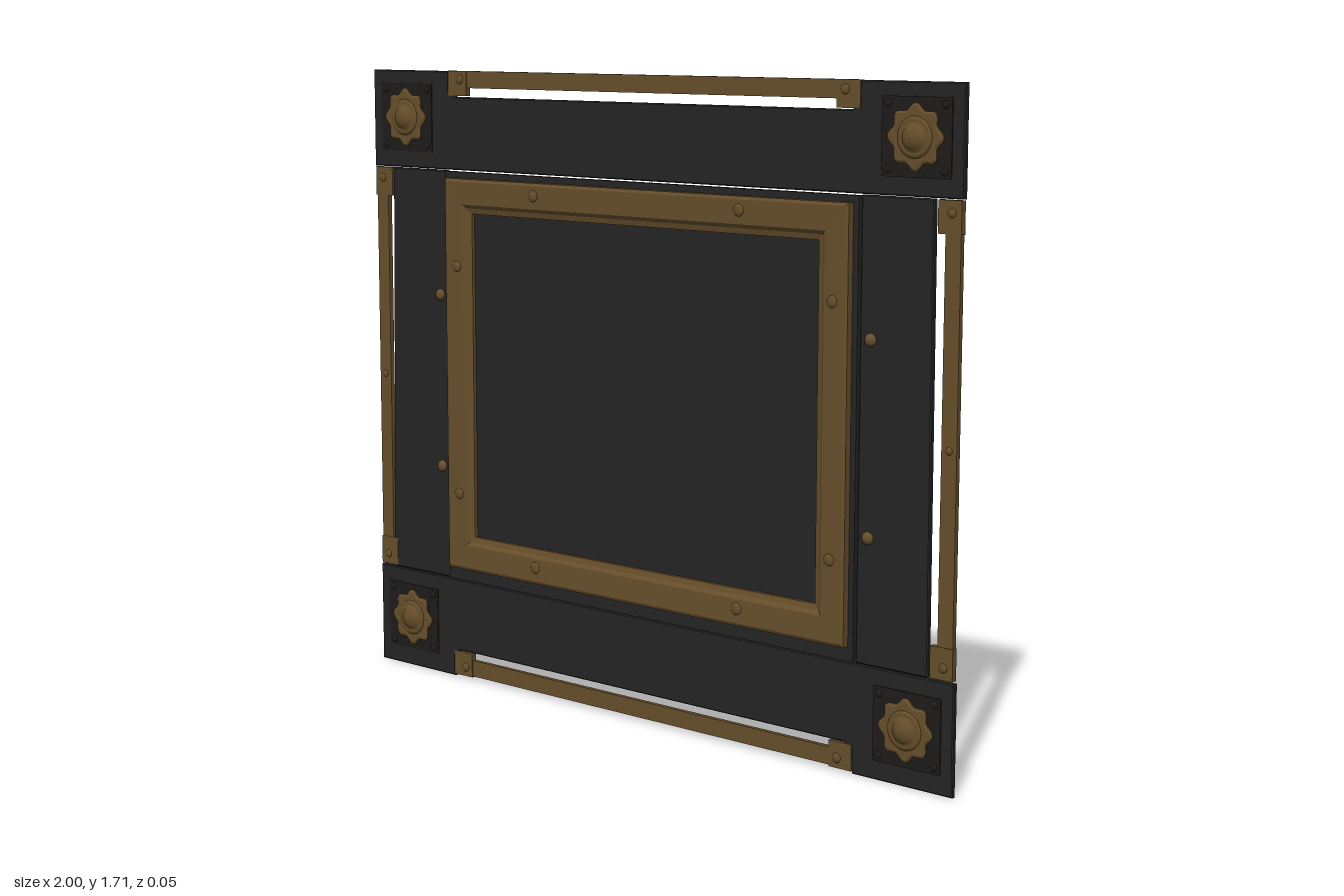
import * as THREE from 'three';

const material = (name, color) => {
  const m = new THREE.MeshStandardMaterial({ color });
  m.name = name;
  return m;
};

export function createModel() {
  const model = new THREE.Group();
  model.name = 'wallFrame';
  const dark = material('blackenedWood', 0x252525);
  const plateDark = material('cornerIron', 0x1f1d1b);
  const brass = material('agedBrass', 0x674f2b);
  const BACK = -0.025, FACE = -0.01, MID = 0.8625;

  const add = (name, geo, mat, x = 0, y = 0, z = 0, parent = model) => {
    const mesh = new THREE.Mesh(geo, mat);
    mesh.name = name;
    mesh.position.set(x, y, z);
    parent.add(mesh);
    return mesh;
  };
  // box given by its limits
  const block = (name, mat, x0, x1, y0, y1, z0 = BACK, z1 = FACE) =>
    add(name, new THREE.BoxGeometry(x1 - x0, y1 - y0, z1 - z0), mat, (x0 + x1) / 2, (y0 + y1) / 2, (z0 + z1) / 2);
  // flat outline pushed out in z
  const slab = (name, mat, points, z0, z1, bevel = 0) => {
    const shape = new THREE.Shape(points.map(([x, y]) => new THREE.Vector2(x, y)));
    const geo = new THREE.ExtrudeGeometry(shape, {
      depth: z1 - z0 - bevel * 2, bevelEnabled: bevel > 0, bevelSize: bevel, bevelThickness: bevel,
      bevelOffset: -bevel, bevelSegments: 1,
    });
    return add(name, geo, mat, 0, 0, z0 + bevel);
  };
  // low dome facing +z
  const dome = (name, mat, x, y, z, r, h, parent = model) => {
    const geo = new THREE.SphereGeometry(1, 12, 5, 0, Math.PI * 2, 0, Math.PI / 2);
    geo.rotateX(Math.PI / 2).scale(r, r, h);
    return add(name, geo, mat, x, y, z, parent);
  };

  // top and bottom planks, notched for the rails
  slab('topPlank', dark, [[-1, 1.44], [1, 1.44], [1, 1.71], [0.7, 1.71], [0.7, 1.655], [0.675, 1.64],
    [-0.675, 1.64], [-0.7, 1.655], [-0.7, 1.71], [-1, 1.71]], BACK, FACE, 0.003);
  slab('bottomPlank', dark, [[-1, 0], [-0.7, 0], [-0.7, 0.06], [-0.675, 0.077], [0.675, 0.077], [0.7, 0.06],
    [0.7, 0], [1, 0], [1, 0.283], [-1, 0.283]], BACK, FACE, 0.003);

  // side planks, left one slightly tapered
  slab('rightPlank', dark, [[-0.945, 0.285], [-0.712, 0.285], [-0.712, 1.438], [-0.925, 1.438]], BACK, FACE, 0.003);
  slab('leftPlank', dark, [[0.708, 0.285], [0.922, 0.285], [0.918, 1.438], [0.708, 1.438]], BACK, FACE, 0.003);

  // centre panel
  block('centrePanel', dark, -0.708, 0.706, 0.287, 1.436, -0.021, -0.002);

  // mitred brass frame: each profile point is [inset, z]
  const rings = [[0, -0.003], [0, 0.017], [0.008, 0.021], [0.07, 0.019], [0.08, 0.012], [0.095, 0.008], [0.095, -0.003]]
    .map(([inset, z]) => {
      const w = 0.69 - inset, h = 0.547 - inset;
      return [[-w, -h, z], [w, -h, z], [w, h, z], [-w, h, z]];
    });
  const pos = [];
  for (let i = 0; i < rings.length - 1; i++) {
    for (let k = 0; k < 4; k++) {
      const n = (k + 1) % 4;
      const [a, b, c, d] = [rings[i][k], rings[i][n], rings[i + 1][n], rings[i + 1][k]];
      pos.push(...a, ...b, ...c, ...a, ...c, ...d);
    }
  }
  const frameGeo = new THREE.BufferGeometry();
  frameGeo.setAttribute('position', new THREE.Float32BufferAttribute(pos, 3));
  frameGeo.computeVertexNormals();
  add('brassFrame', frameGeo, brass, 0, 0.872, 0);

  // rivets on the frame and side planks
  for (const s of [-1, 1]) {
    for (const y of [0.37, 1.385]) dome('frameRivet', brass, s * 0.353, y, 0.019, 0.017, 0.006);
    for (const y of [0.54, 1.178]) dome('frameRivet', brass, s * 0.645, y, 0.019, 0.016, 0.006);
    for (const y of [0.603, 1.09]) dome('plankRivet', brass, s * 0.74, y, FACE, 0.017, 0.012);
  }

  // brass rails with end brackets, one per outer edge
  for (const s of [-1, 1]) {
    const edgeY = s > 0 ? 1.688 : 0.032;
    const rail = add('horizontalRail', new THREE.BoxGeometry(1.3, 0.046, 0.013), brass, 0, edgeY, -0.018);
    rail.name = s > 0 ? 'topRail' : 'bottomRail';
    const sideRail = add('sideRail', new THREE.BoxGeometry(0.044, 1.06, 0.013), brass, s * 0.971, MID, -0.018);
    sideRail.name = s > 0 ? 'leftRail' : 'rightRail';
    dome('railRivet', brass, s * 0.971, 0.845, -0.012, 0.01, 0.005);
    for (const e of [-1, 1]) {
      const by = s > 0 ? 1.677 : 0.04;
      block('railBracket', brass, e * 0.665 - 0.035, e * 0.665 + 0.035, by - 0.034, by + 0.034, BACK, -0.009);
      dome('bracketRivet', brass, e * 0.655, edgeY, -0.009, 0.013, 0.005);
      const sy = MID + e * 0.535;
      block('sideBracket', brass, s * 0.962 - 0.033, s * 0.962 + 0.033, sy - 0.04, sy + 0.04, BACK, -0.009);
      dome('bracketRivet', brass, s * 0.968, sy + e * 0.01, -0.009, 0.012, 0.005);
    }
  }

  // corner ornaments: iron plate, scalloped rosette and boss
  const petal = new THREE.Shape();
  for (let i = 0; i <= 64; i++) {
    const a = (i / 64) * Math.PI * 2, r = 0.074 + 0.007 * Math.cos(a * 8);
    petal[i ? 'lineTo' : 'moveTo'](r * Math.cos(a), r * Math.sin(a));
  }
  const petalGeo = new THREE.ExtrudeGeometry(petal, {
    depth: 0.004, bevelSize: 0.006, bevelThickness: 0.003, bevelOffset: -0.006, bevelSegments: 1,
  });
  const bossGeo = new THREE.LatheGeometry(
    [[0.052, 0], [0.048, 0.006], [0.04, 0.008], [0.034, 0.005], [0.03, 0.012], [0.018, 0.016], [0.01, 0.018], [0, 0.019]]
      .map(([r, h]) => new THREE.Vector2(r, h)), 24);
  bossGeo.rotateX(Math.PI / 2);

  // rounded three-lobed outline for the clamp seen behind each corner
  const clamp = new THREE.CatmullRomCurve3([[-0.07, -0.05], [-0.05, -0.06], [0, -0.052], [0.05, -0.06], [0.07, -0.05],
    [0.062, -0.02], [0.036, 0.035], [0.015, 0.06], [-0.015, 0.06], [-0.036, 0.035], [-0.062, -0.02]]
    .map(([x, y]) => new THREE.Vector3(x, y, 0)), true);
  const clampShape = new THREE.Shape(clamp.getPoints(44).slice(0, -1).map((p) => new THREE.Vector2(p.x, p.y)));
  const clampGeo = new THREE.ExtrudeGeometry(clampShape, { depth: 0.003, bevelEnabled: false });

  for (const sx of [-1, 1]) {
    for (const sy of [-1, 1]) {
      const corner = new THREE.Group();
      corner.name = 'cornerOrnament';
      corner.position.set(sx * 0.865, sy > 0 ? 1.58 : 0.145, FACE);
      model.add(corner);
      add('cornerPlate', new THREE.BoxGeometry(0.2, 0.19, 0.004), plateDark, 0, 0, 0.001, corner);
      for (const i of [-1, 1]) for (const j of [-1, 1]) {
        dome('plateRivet', plateDark, i * 0.082, j * 0.078, 0.003, 0.01, 0.005, corner);
      }
      add('rosette', petalGeo, brass, 0, 0, 0.004, corner);
      add('rosetteBoss', bossGeo, brass, 0, 0, 0.008, corner);
      const back = add('backClamp', clampGeo, brass, sx * 0.84, sy > 0 ? 1.515 : 0.19, -0.027);
      if (sy < 0) back.rotation.z = Math.PI;
    }
  }
  return model;
}
